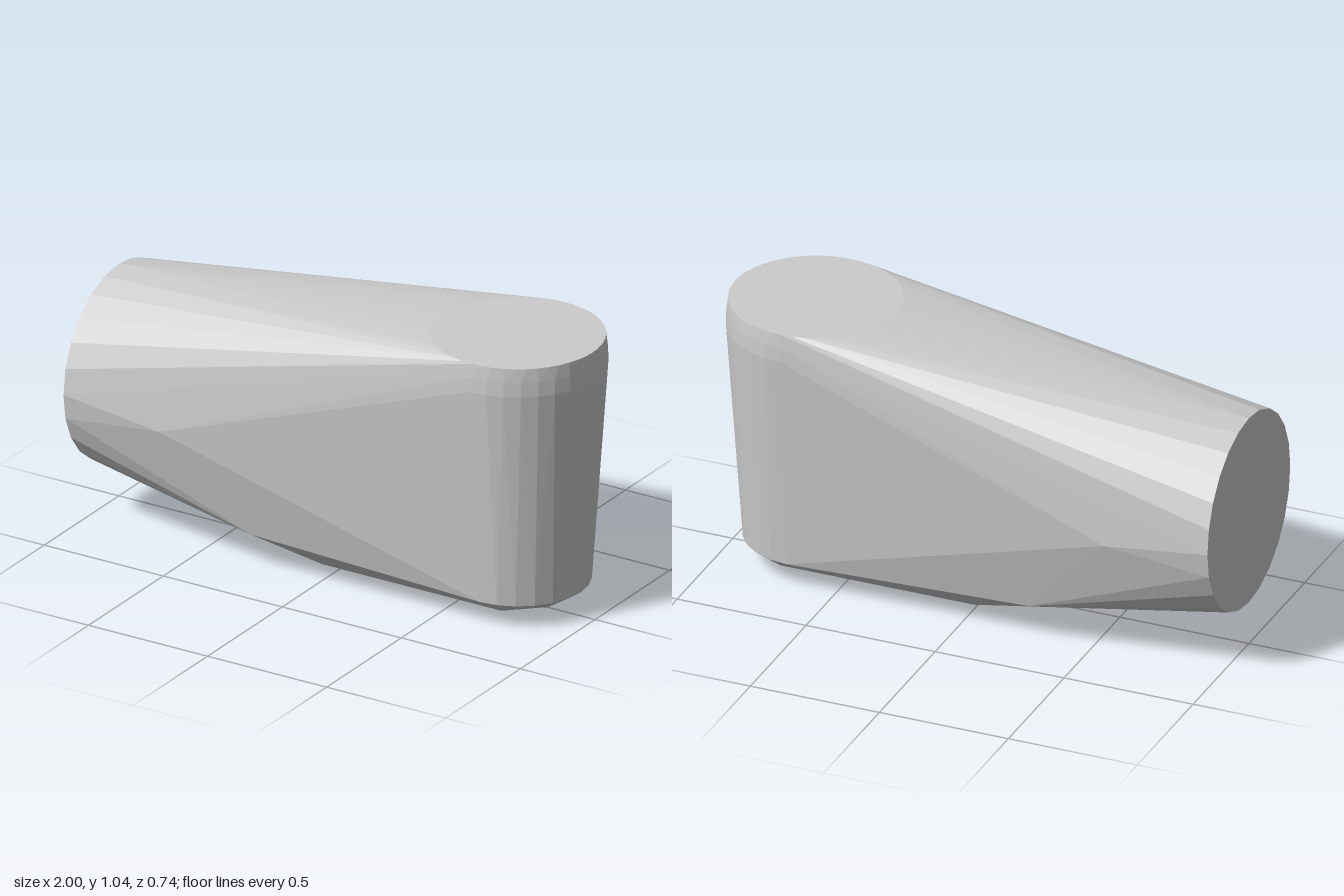
import * as THREE from 'three';
import { ConvexGeometry } from 'three/addons/geometries/ConvexGeometry.js';

export function createModel() {
  const group = new THREE.Group();
  const points = [];
  const add = (x, y, z) => points.push(new THREE.Vector3(x, y, z));
  const mirrored = (x, y, z) => { add(x, y, z); add(x, y, -z); };

  // round open-end face of the horizontal arm
  for (let i = 0; i < 24; i++) {
    const a = (i / 24) * Math.PI * 2;
    add(-1, 0.537 + 0.371 * Math.sin(a), 0.371 * Math.cos(a));
  }

  // upright tapered column with a slightly rounded top rim: [height, radius, sides]
  const rings = [[1.042, 0.313, 48], [0.99, 0.319, 32], [0.935, 0.321, 32], [0.092, 0.262, 24]];
  for (const [y, r, sides] of rings) {
    for (let i = 0; i < sides; i++) {
      const a = (i / sides) * Math.PI * 2;
      add(0.678 + r * Math.cos(a), y, r * Math.sin(a));
    }
  }

  // widest point of the arm, and its lower shoulder
  mirrored(-0.6, 0.49, 0.372);
  mirrored(-0.27, 0.135, 0.284);

  // chamfered underside: flat sole, toe facets and side strips
  mirrored(0.09, 0, 0.08);
  mirrored(0.66, 0, 0.08);
  mirrored(0.84, 0.033, 0.06);
  mirrored(0.73, 0.045, 0.197);
  mirrored(-0.02, 0.045, 0.197);

  const body = new THREE.Mesh(
    new ConvexGeometry(points),
    new THREE.MeshStandardMaterial({ color: 0xcccccc, flatShading: true })
  );
  body.name = 'elbowBody';
  group.add(body);
  return group;
}
